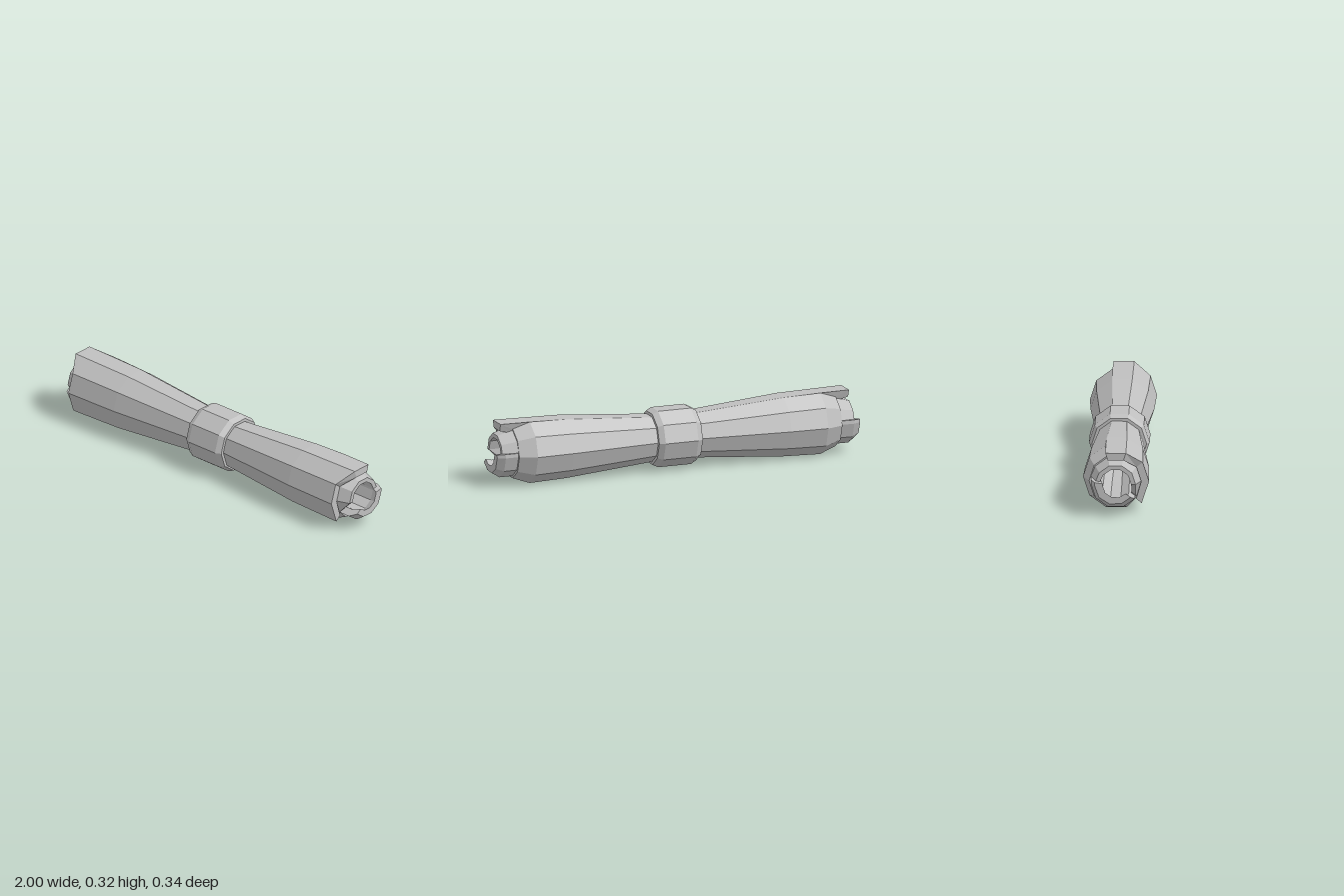
import * as THREE from 'three';

const CENTRE_Y = 0.162;

// Spiral stations of the rolled sheet, from the outer flap to the inner tip:
// [angle, outer r, inner r, shoulder x, end x, outer r at end, inner r at end]
const flap = (a, x) => [a, 0.17, 0.13, x - 0.02, x, 0.17, 0.13];
const worn = (a) => [a, 0.17, 0.13, 0.8, 0.89, 0.137, 0.11];
const ring = (a) => [a, 0.13, 0.085, 0.89, 0.97, 0.103, 0.08];
const tip = (a, rOut, rIn) => [a, 0.126, 0.085, 0.96, 1.0, rOut, rIn];
const STATIONS = [
  [-41, 0.175, 0.138, 0.885, 0.905, 0.175, 0.138],
  flap(0, 0.905), flap(36, 0.905), flap(72, 0.96), flap(108, 0.96),
  worn(109), worn(144), worn(180), worn(216), worn(252), worn(288),
  [324, 0.15, 0.105, 0.82, 0.9, 0.125, 0.1],
  ring(360), ring(396), ring(432), ring(468), ring(504), ring(530),
  tip(531, 0.107, 0.066), tip(540, 0.106, 0.065), tip(576, 0.104, 0.064),
  tip(612, 0.1, 0.063), tip(648, 0.098, 0.063), tip(682, 0.098, 0.066),
];

// One closed section of the sheet: along the outside, then back along the inside
function section([deg, rOut, rIn, xs, xe, rOutEnd, rInEnd]) {
  const a = THREE.MathUtils.degToRad(deg);
  const half = [[0.1, 0.72], [0.35, 0.84], [0.6, 0.96], [xs, 1], [xe, null]];
  const line = (r, rEnd) => {
    const right = half.map(([x, s]) => [x, s === null ? rEnd : r * s]);
    const left = right.map(([x, q]) => [-x, q]).reverse();
    return [...left, ...right].map(([x, q]) => [x, q * Math.sin(a), q * Math.cos(a)]);
  };
  return [...line(rOut, rOutEnd), ...line(rIn, rInEnd).reverse()];
}

function sheetGeometry() {
  const loops = STATIONS.map(section);
  const n = loops[0].length;
  const pos = [];
  const quad = (a, b, c, d) => pos.push(...a, ...b, ...c, ...a, ...c, ...d);
  for (let j = 0; j < loops.length - 1; j++) {
    for (let i = 0; i < n; i++) {
      const k = (i + 1) % n;
      quad(loops[j][i], loops[j][k], loops[j + 1][k], loops[j + 1][i]);
    }
  }
  // Close the two long edges of the sheet
  const first = loops[0], last = loops[loops.length - 1];
  for (let i = 0; i < n / 2 - 1; i++) {
    quad(first[i], first[n - 1 - i], first[n - 2 - i], first[i + 1]);
    quad(last[i], last[i + 1], last[n - 2 - i], last[n - 1 - i]);
  }
  const g = new THREE.BufferGeometry();
  g.setAttribute('position', new THREE.Float32BufferAttribute(pos, 3));
  g.computeVertexNormals();
  return g;
}

// Ten-sided tie with bevelled rims
function bandGeometry() {
  const profile = [[0.11, -0.12], [0.14, -0.12], [0.155, -0.09], [0.155, 0.09], [0.14, 0.12], [0.11, 0.12]];
  const g = new THREE.LatheGeometry(profile.map(([r, x]) => new THREE.Vector2(r, x)), 10).toNonIndexed();
  g.computeVertexNormals();
  g.rotateZ(-Math.PI / 2);
  return g;
}

export function createModel() {
  const grey = new THREE.MeshStandardMaterial({ color: 0xbfbfbf });
  grey.name = 'paperGrey';
  const model = new THREE.Group();
  model.name = 'rolledScroll';
  const add = (name, geometry) => {
    const mesh = new THREE.Mesh(geometry, grey);
    mesh.name = name;
    mesh.position.y = CENTRE_Y;
    model.add(mesh);
  };
  add('rolledSheet', sheetGeometry());
  add('tieBand', bandGeometry());
  return model;
}
